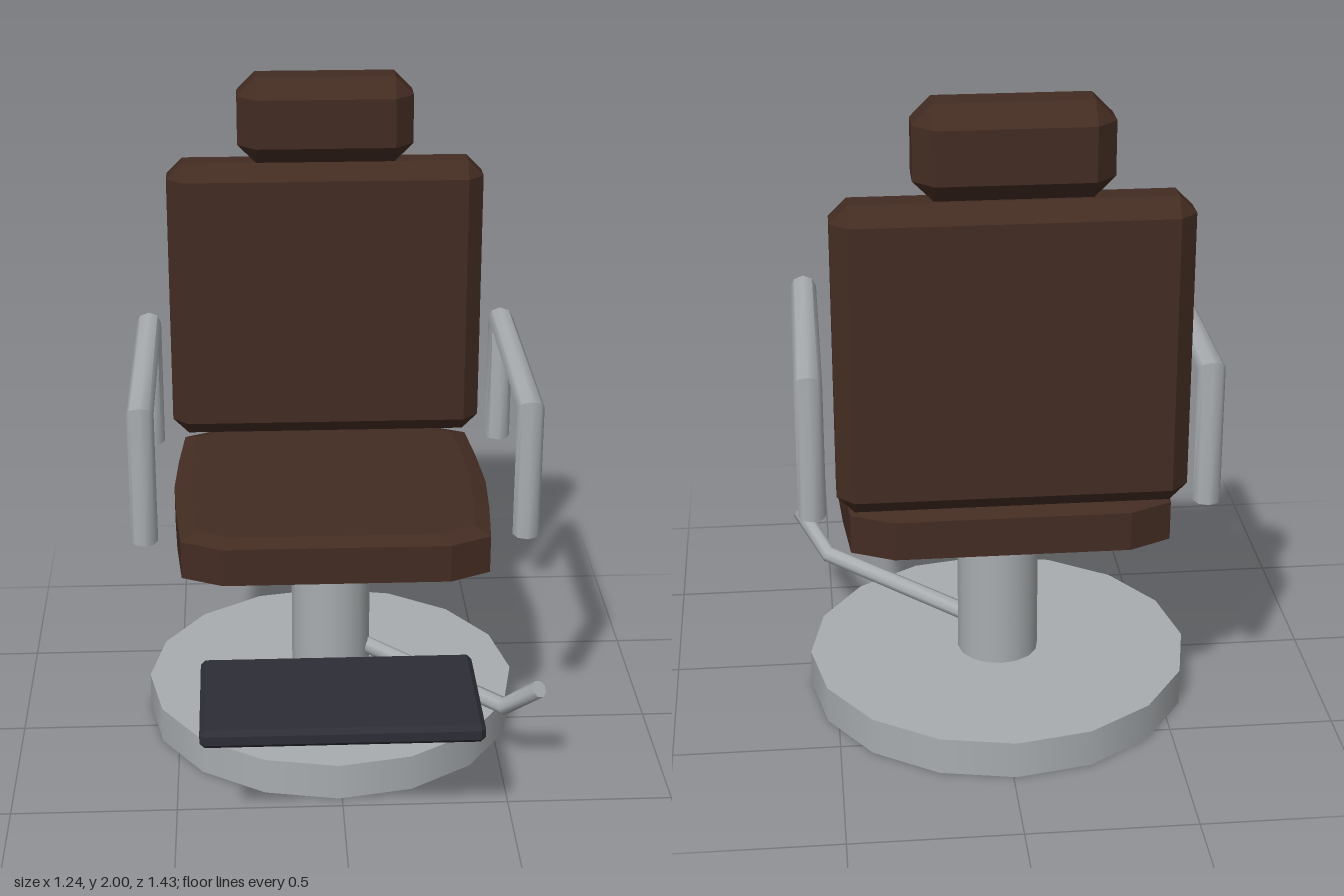
import * as THREE from 'three';
import { toCreasedNormals } from 'three/addons/utils/BufferGeometryUtils.js';
import { ConvexGeometry } from 'three/addons/geometries/ConvexGeometry.js';

const V = (x, y, z) => new THREE.Vector3(x, y, z);

// Box with flat bevels on every edge
function bevelBox(w, h, d, c) {
  const pts = [], a = w / 2, b = h / 2, e = d / 2;
  for (const x of [-1, 1]) for (const y of [-1, 1]) for (const z of [-1, 1]) {
    pts.push(V(x * a, y * (b - c), z * (e - c)));
    pts.push(V(x * (a - c), y * b, z * (e - c)));
    pts.push(V(x * (a - c), y * (b - c), z * e));
  }
  return new ConvexGeometry(pts);
}

// Seat cushion: bulging outline, slightly drawn in at top and bottom
function seatGeometry() {
  const pts = [];
  const outline = [[0.34, 0.46], [0.463, 0.4], [0.48, 0.2], [0.49, 0]];
  const layers = [[-0.078, 0.9], [-0.058, 1], [0.06, 1], [0.078, 0.9]];
  for (const [y, s] of layers) for (const [x, z] of outline)
    for (const sx of [-1, 1]) for (const sz of [-1, 1]) pts.push(V(x * s * sx, y, z * s * sz));
  return new ConvexGeometry(pts);
}

// Eight-sided bar through rings of [centre, half-axis u, half-axis v], capped at both ends
function bar(rings, sides = 8) {
  const pos = [], idx = [];
  for (const [c, u, v] of rings) for (let j = 0; j < sides; j++) {
    const t = (j / sides) * Math.PI * 2;
    pos.push(...c.clone().addScaledVector(u, Math.cos(t)).addScaledVector(v, Math.sin(t)).toArray());
  }
  for (let i = 0; i < rings.length - 1; i++) for (let j = 0; j < sides; j++) {
    const k = (j + 1) % sides, a = i * sides, b = a + sides;
    idx.push(a + j, a + k, b + k, a + j, b + k, b + j);
  }
  const last = (rings.length - 1) * sides;
  for (let j = 1; j < sides - 1; j++) {
    idx.push(0, j + 1, j, last, last + j, last + j + 1);
  }
  const g = new THREE.BufferGeometry();
  g.setAttribute('position', new THREE.Float32BufferAttribute(pos, 3));
  g.setIndex(idx);
  return toCreasedNormals(g, 0.9);
}

export function createModel() {
  const material = (name, color) => {
    const m = new THREE.MeshStandardMaterial({ color });
    m.name = name;
    return m;
  };
  const leather = material('brown leather', 0x432c22);
  const metal = material('brushed metal', 0xa9adb0);
  const rubber = material('dark rubber', 0x2d2d37);

  const chair = new THREE.Group();
  chair.name = 'swivelChair';
  const add = (name, geo, mat, x, y, z) => {
    const m = new THREE.Mesh(geo, mat);
    m.name = name;
    m.position.set(x, y, z);
    chair.add(m);
    return m;
  };
  const cx = -0.01, cz = -0.127;

  // Pedestal
  add('base', new THREE.CylinderGeometry(0.587, 0.587, 0.115, 16), metal, cx, 0.0575, cz);
  add('column', new THREE.CylinderGeometry(0.125, 0.125, 0.56, 16), metal, cx, 0.38, cz);

  // Cushions
  add('seat', seatGeometry(), leather, cx, 0.724, cz);
  add('backrest', bevelBox(1, 0.912, 0.172, 0.05), leather, cx, 1.27, -0.531);
  add('headrest', bevelBox(0.55, 0.27, 0.204, 0.058), leather, cx, 1.865, -0.523);

  // Footrest
  add('footrest', bevelBox(0.825, 0.058, 0.444, 0.015), rubber, cx, 0.362, 0.492);

  // Armrests: tapered legs mitred into the top rail
  const ux = V(0.04, 0, 0);
  const arm = bar([
    [V(0, 0.78, 0.25), ux, V(0, 0, -0.04)],
    [V(0, 1.192, 0.26), ux, V(0, -0.027, -0.026)],
    [V(0, 1.192, -0.51), ux, V(0, -0.027, 0.026)],
    [V(0, 0.78, -0.51), ux, V(0, 0, 0.04)],
  ]);
  add('leftArmrest', arm, metal, cx + 0.57, 0, 0);
  add('rightArmrest', arm, metal, cx - 0.57, 0, 0);

  // Pump lever: level rod, bent upwards at the end
  const h = V(0.69, 0, 0.72), side = V(0.72, 0, -0.69).multiplyScalar(0.027);
  const tilt = (a) => h.clone().multiplyScalar(-Math.sin(a)).add(V(0, Math.cos(a), 0)).multiplyScalar(0.027);
  add('lever', bar([
    [V(0.08, 0.225, -0.125), side, tilt(0)],
    [V(0.505, 0.225, 0.315), side, tilt(0.34)],
    [V(0.595, 0.34, 0.415), side, tilt(0.68)],
  ]), metal, 0, 0, 0);

  return chair;
}
